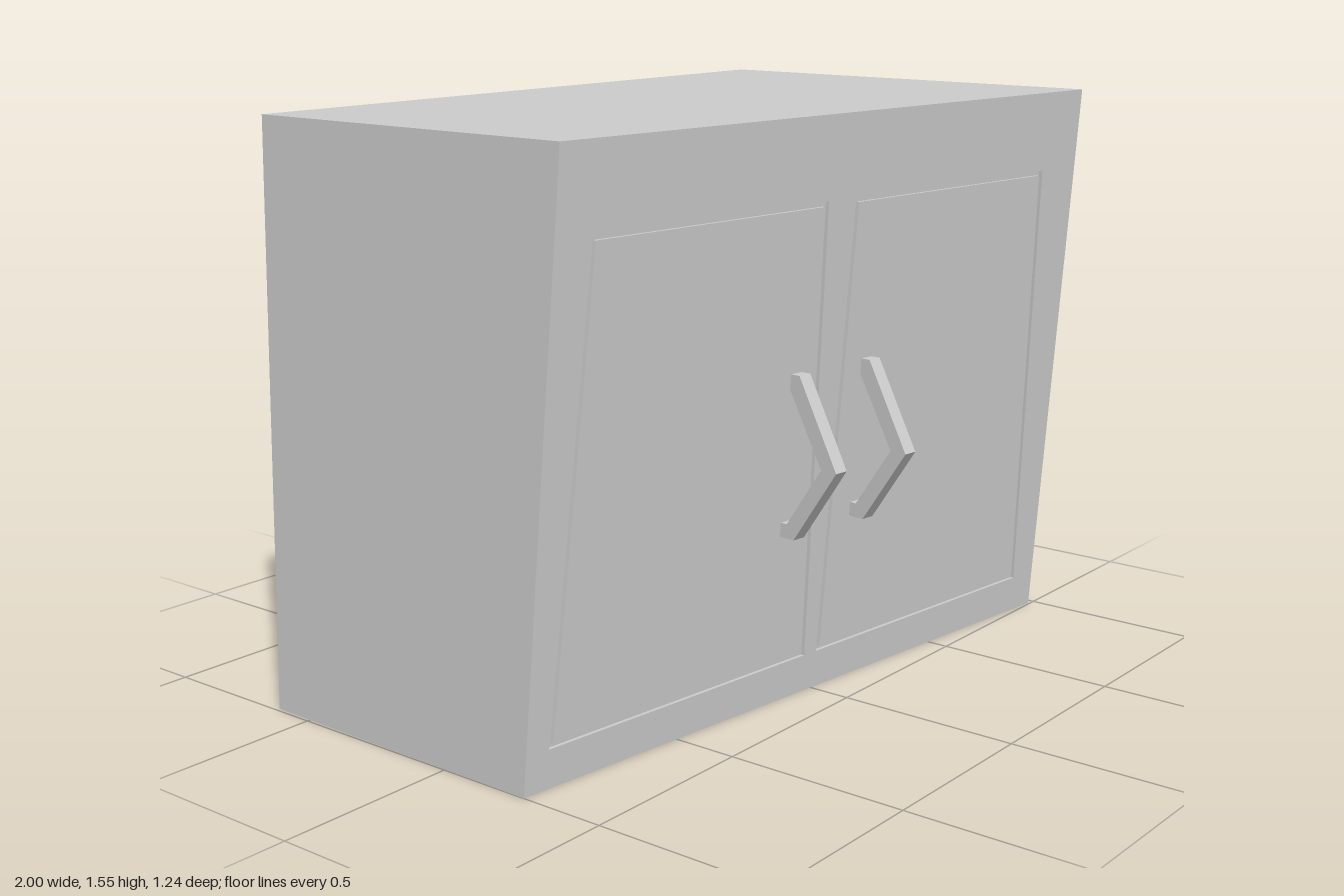
import * as THREE from 'three';

const material = new THREE.MeshStandardMaterial({ color: 0xcccccc, side: THREE.DoubleSide, flatShading: true });

// Depth of the leaning, skewed front plane
const frontZ = (x, y) => 0.3815 + 0.1163 * x + 0.071 * y;

function add(parent, name, geometry) {
  const mesh = new THREE.Mesh(geometry, material);
  mesh.name = name;
  parent.add(mesh);
  return mesh;
}

// Four-sided faces from corner lists
function quads(list) {
  const points = [];
  for (const [a, b, c, d] of list) points.push(...a, ...b, ...c, ...a, ...c, ...d);
  const g = new THREE.BufferGeometry();
  g.setAttribute('position', new THREE.Float32BufferAttribute(points, 3));
  g.computeVertexNormals();
  return g;
}

// Flat outline laid on the front plane, with optional holes
function onFront(outline, holes = []) {
  const toPoints = (list) => list.map(([x, y]) => new THREE.Vector2(x, y));
  const shape = new THREE.Shape(toPoints(outline));
  for (const hole of holes) shape.holes.push(new THREE.Path(toPoints(hole)));
  const g = new THREE.ShapeGeometry(shape);
  const p = g.attributes.position;
  for (let i = 0; i < p.count; i++) p.setZ(i, frontZ(p.getX(i), p.getY(i)));
  g.computeVertexNormals();
  return g;
}

// Shallow channel between an outer and an inner outline
function groove(outer, inner, depth) {
  const lift = (list, d) => list.map(([x, y]) => [x, y, frontZ(x, y) - d]);
  const loops = [lift(outer, 0), lift(outer, depth), lift(inner, depth), lift(inner, 0)];
  const faces = [];
  for (let k = 0; k < 3; k++) {
    for (let i = 0; i < 4; i++) {
      const j = (i + 1) % 4;
      faces.push([loops[k][i], loops[k][j], loops[k + 1][j], loops[k + 1][i]]);
    }
  }
  return quads(faces);
}

// Bent bar handle: side profile of (distance from door, height), swept across
function handle(x0) {
  const profile = [[-0.008, 0.9], [-0.008, 0.86], [0.003, 0.855], [0.122, 0.67], [0.02, 0.505],
    [-0.008, 0.505], [-0.008, 0.467], [0.047, 0.467], [0.172, 0.67], [0.028, 0.9]];
  const shape = new THREE.Shape(profile.map(([d, y]) => new THREE.Vector2(d, y)));
  const g = new THREE.ExtrudeGeometry(shape, { depth: 0.04, bevelEnabled: false });
  const p = g.attributes.position;
  for (let i = 0; i < p.count; i++) {
    const d = p.getX(i), y = p.getY(i), w = 0.04 - p.getZ(i);
    p.setXYZ(i, x0 + w - 0.12 * d, y, frontZ(x0 + w, y) + d);
  }
  g.computeVertexNormals();
  return g;
}

export function createModel() {
  const cabinet = new THREE.Group();
  cabinet.name = 'cabinet';

  // Front outline, counter-clockwise from the bottom at -x
  const front = [[-1, 0], [0.977, 0], [0.977, 1.55], [-0.965, 1.55]];
  const [fbl, fbr, ftr, ftl] = front.map(([x, y]) => [x, y, frontZ(x, y)]);
  const back = -0.62;
  const bbl = [-0.99, 0, back], bbr = [0.998, 0, back], btr = [0.998, 1.55, back], btl = [-0.955, 1.55, back];

  // Open-backed carcass
  add(cabinet, 'top', quads([[ftl, ftr, btr, btl]]));
  add(cabinet, 'bottom', quads([[bbl, bbr, fbr, fbl]]));
  add(cabinet, 'leftSide', quads([[fbr, bbr, btr, ftr]]));
  add(cabinet, 'rightSide', quads([[bbl, fbl, ftl, btl]]));

  // Tapered doors, each outlined by a groove and carrying a handle
  const doors = [
    { side: 'right', handleX: -0.165, outline: [[-0.928, 0.103], [-0.035, 0.103], [-0.069, 1.332], [-0.86, 1.332]] },
    { side: 'left', handleX: 0.104, outline: [[0.011, 0.103], [0.887, 0.103], [0.825, 1.332], [0.034, 1.332]] },
  ];
  add(cabinet, 'frontFrame', onFront(front, doors.map((d) => d.outline)));

  const inset = 0.013;
  for (const { side, handleX, outline } of doors) {
    const door = new THREE.Group();
    door.name = side + 'Door';
    const inner = outline.map(([x, y], i) => [
      x + (i === 0 || i === 3 ? inset : -inset),
      y + (i < 2 ? inset : -inset),
    ]);
    add(door, 'doorGroove', groove(outline, inner, 0.01));
    add(door, 'doorPanel', onFront(inner));
    add(door, 'handle', handle(handleX));
    cabinet.add(door);
  }
  return cabinet;
}
